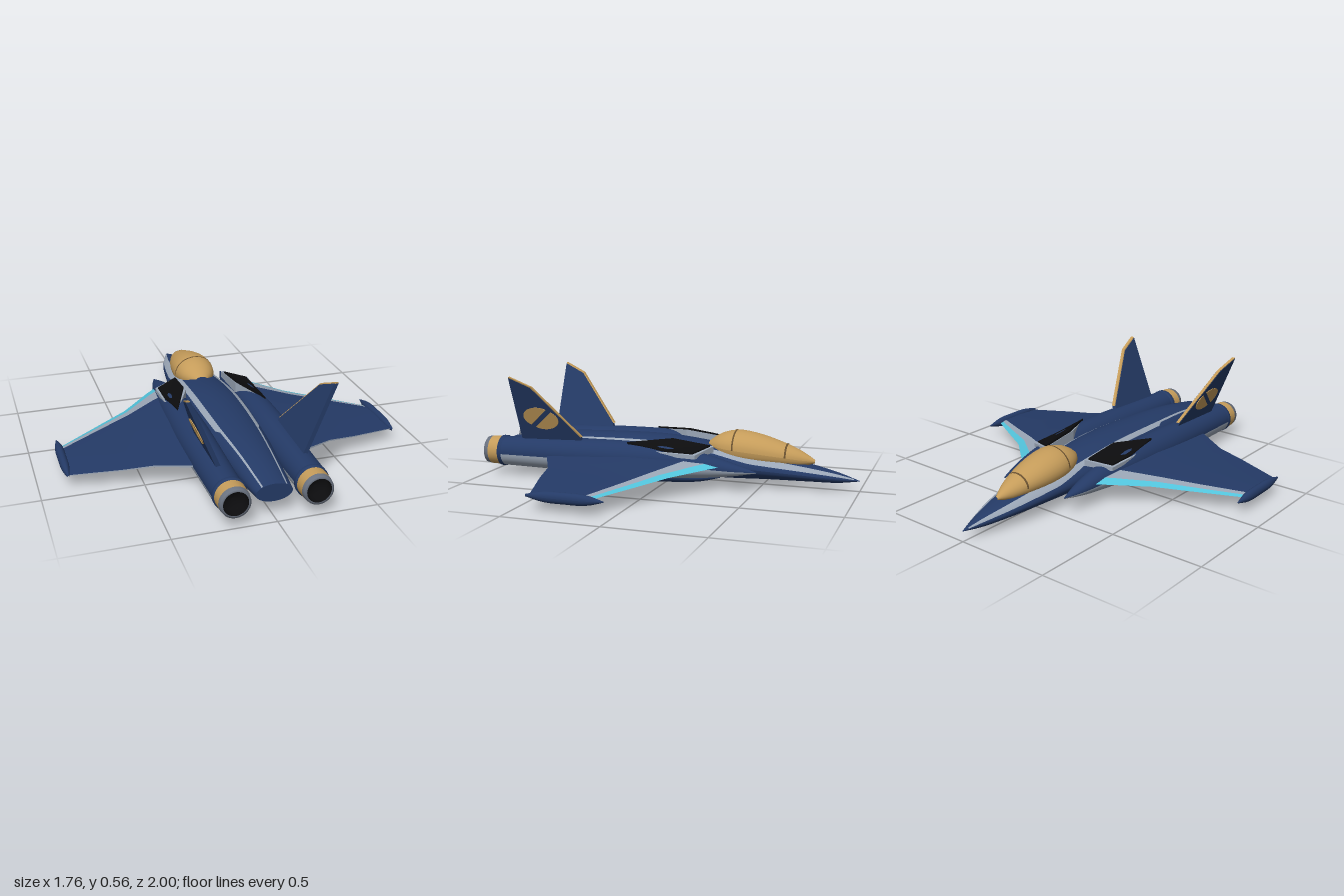
import * as THREE from 'three';

const paint = (name, color, side = THREE.FrontSide) => {
  const m = new THREE.MeshStandardMaterial({ color, side });
  m.name = name;
  return m;
};

// Surface through rows of points
function grid(rows) {
  const n = rows[0].length, index = [];
  for (let i = 0; i < rows.length - 1; i++)
    for (let j = 0; j < n - 1; j++) {
      const a = i * n + j, b = a + n;
      index.push(a, a + 1, b, a + 1, b + 1, b);
    }
  const g = new THREE.BufferGeometry();
  g.setAttribute('position', new THREE.Float32BufferAttribute(rows.flat(2), 3));
  g.setIndex(index);
  g.computeVertexNormals();
  return g;
}

// Elliptical body along z; sections are [z, y, halfWidth, halfHeight], angles in degrees
function loft(x, sections, a0 = 0, a1 = 360, grow = 0, z0 = sections[0][0], z1 = sections.at(-1)[0]) {
  const curve = new THREE.CubicInterpolant(sections.map(s => s[0]), sections.flatMap(s => s.slice(1)), 3, new Float32Array(3));
  const at = (a, z) => (typeof a === 'function' ? a(z) : a);
  const rows = [], steps = Math.max(4, Math.ceil((z1 - z0) * 28)), cols = 32;
  for (let i = 0; i <= steps; i++) {
    const z = z0 + (z1 - z0) * i / steps;
    const [y, w, h] = curve.evaluate(z);
    const row = [];
    for (let j = 0; j <= cols; j++) {
      const a = THREE.MathUtils.degToRad(at(a0, z) + (at(a1, z) - at(a0, z)) * j / cols);
      row.push([x + (Math.max(w, 0.001) + grow) * Math.cos(a), y + (Math.max(h, 0.001) + grow) * Math.sin(a), z]);
    }
    rows.push(row);
  }
  return grid(rows);
}

function mirrored(geo) {
  const g = geo.clone();
  g.scale(-1, 1, 1);
  const idx = g.index ? Array.from(g.index.array) : Array.from({ length: g.attributes.position.count }, (_, i) => i);
  for (let i = 0; i < idx.length; i += 3) [idx[i + 1], idx[i + 2]] = [idx[i + 2], idx[i + 1]];
  g.setIndex(idx);
  return g;
}

export function createModel() {
  const root = new THREE.Group();
  root.name = 'jetAircraft';
  const navy = paint('navy', 0x243a66);
  const gray = paint('lightGray', 0x9aa6b6);
  const gold = paint('gold', 0xc59c5a);
  const cyan = paint('cyan', 0x52c4dc);
  const black = paint('black', 0x0c0c0e, THREE.DoubleSide);
  const steel = paint('steel', 0x6a7280);
  const bronze = paint('bronze', 0x6b5230);

  const add = (name, geo, mat) => {
    const m = new THREE.Mesh(geo, mat);
    m.name = name;
    root.add(m);
  };
  const pair = (name, geo, mat) => {
    add(name + 'Left', geo, mat);
    add(name + 'Right', mirrored(geo), mat);
  };

  // Fuselage with gray stripes
  const body = [
    [-1, 0.055, 0.001, 0.001], [-0.9, 0.064, 0.037, 0.024], [-0.75, 0.08, 0.085, 0.042],
    [-0.55, 0.096, 0.122, 0.06], [-0.3, 0.112, 0.15, 0.084], [0, 0.13, 0.163, 0.101],
    [0.4, 0.13, 0.15, 0.1], [0.7, 0.13, 0.118, 0.08], [0.95, 0.125, 0.09, 0.045]];
  add('fuselage', loft(0, body), navy);
  const tailCap = new THREE.CircleGeometry(1, 32).scale(0.09, 0.045, 1).translate(0, 0.125, 0.95);
  add('tailCap', tailCap, navy);
  const low = z => (z < -0.45 ? 22 : z < -0.25 ? 22 + (z + 0.45) * 90 : z < 0.45 ? 40 : 47);
  pair('fuselageStripe', loft(0, body, low, 53, 0.002, -0.97, 0.95), gray);

  // Canopy and its frames
  const canopy = [
    [-0.77, 0.14, 0.008, 0.008], [-0.7, 0.15, 0.045, 0.04], [-0.6, 0.165, 0.08, 0.065],
    [-0.45, 0.182, 0.108, 0.09], [-0.35, 0.19, 0.108, 0.09], [-0.26, 0.196, 0.08, 0.058],
    [-0.21, 0.198, 0.035, 0.02]];
  add('canopy', loft(0, canopy), gold);
  for (const z of [-0.63, -0.36]) add('canopyFrame', loft(0, canopy, 0, 180, 0.003, z, z + 0.009), bronze);

  // Engine nacelles: navy above, gray below
  const nacelle = [
    [-0.51, 0.105, 0.002, 0.002], [-0.4, 0.112, 0.036, 0.03], [-0.25, 0.122, 0.06, 0.06],
    [0, 0.13, 0.082, 0.088], [0.3, 0.13, 0.09, 0.094], [0.6, 0.13, 0.084, 0.085], [0.91, 0.127, 0.078, 0.078]];
  pair('nacelleTop', loft(0.203, nacelle, -5, 185), navy);
  pair('nacelleBelly', loft(0.203, nacelle, 185, 355), gray);

  // Nozzles, turned around the engine axis
  const turn = pts => new THREE.LatheGeometry(pts.map(p => new THREE.Vector2(...p)), 32).rotateX(Math.PI / 2).translate(0.2, 0.127, 0);
  pair('nozzleCollar', turn([[0.076, 0.89], [0.083, 0.895], [0.083, 0.915], [0.072, 0.918]]), navy);
  pair('nozzle', turn([[0.077, 0.912], [0.076, 0.975]]), gold);
  pair('nozzleRim', turn([[0.076, 0.975], [0.072, 1], [0.061, 1]]), steel);
  pair('nozzleInside', turn([[0.061, 1], [0.055, 0.95], [0.001, 0.94]]), black);

  // Wings: [x, leading z, cyan end, gray end, middle, trailing z, y, half thickness]
  const wing = [
    [0.22, -0.35, -0.285, -0.17, 0.15, 0.63, 0.132, 0.034],
    [0.3, -0.28, -0.22, -0.13, 0.15, 0.605, 0.126, 0.031],
    [0.46, -0.13, -0.085, -0.035, 0.18, 0.52, 0.108, 0.024],
    [0.61, -0.035, 0, 0.04, 0.22, 0.49, 0.094, 0.019],
    [0.85, 0.12, 0.14, 0.165, 0.28, 0.425, 0.072, 0.013]];
  const bulge = [0, 0.5, 0.8, 1, 0.15];
  const wingPoint = (s, k, side) => [s[0], s[6] + side * bulge[k] * s[7], s[1 + k]];
  const wingStrip = list => grid(wing.map(s => list.map(([k, side]) => wingPoint(s, k, side))));
  pair('wingLeadingEdge', wingStrip([[0, 1], [1, 1]]), cyan);
  pair('wingStripe', wingStrip([[1, 1], [2, 1]]), gray);
  pair('wingTop', wingStrip([[2, 1], [3, 1], [4, 1]]), navy);
  pair('wingTrailingEdge', wingStrip([[4, 1], [4, -1]]), gray);
  pair('wingBottom', wingStrip([[4, -1], [3, -1], [2, -1], [1, -1], [0, -1]]), navy);

  // Wingtip pods
  pair('wingtipPod', loft(0.858, [
    [-0.0 + 0.04, 0.073, 0.002, 0.002], [0.13, 0.073, 0.02, 0.025], [0.24, 0.073, 0.022, 0.028],
    [0.35, 0.073, 0.02, 0.025], [0.44, 0.073, 0.004, 0.006]]), navy);

  // Belly pods
  pair('bellyPod', loft(0.128, [
    [-0.3, 0.05, 0.002, 0.002], [-0.2, 0.044, 0.032, 0.022], [0, 0.04, 0.054, 0.034],
    [0.3, 0.04, 0.054, 0.035], [0.42, 0.045, 0.035, 0.022], [0.49, 0.055, 0.002, 0.002]]), navy);

  // Stores in pairs under each wing
  for (const x of [0.37, 0.43])
    pair('wingStore', loft(x, [
      [0.02, 0.055, 0.001, 0.001], [0.08, 0.055, 0.017, 0.017], [0.2, 0.055, 0.02, 0.02],
      [0.34, 0.055, 0.02, 0.02], [0.44, 0.055, 0.005, 0.005]]), steel);
  pair('storePylon', new THREE.BoxGeometry(0.018, 0.045, 0.2).translate(0.4, 0.08, 0.23), steel);
  pair('storeRack', new THREE.BoxGeometry(0.06, 0.012, 0.18).translate(0.4, 0.06, 0.23), steel);

  // Leaning slabs for the tail fins, drawn in [z, y]
  const slab = (points, offset, depth) => {
    const shape = new THREE.Shape(points.map(([z, y]) => new THREE.Vector2(-z, y)));
    const g = new THREE.ExtrudeGeometry(shape, { depth, bevelEnabled: false }).rotateY(Math.PI / 2);
    const p = g.attributes.position;
    for (let i = 0; i < p.count; i++) p.setX(i, p.getX(i) + offset + 0.213 + (p.getY(i) - 0.2) * 0.405);
    g.computeVertexNormals();
    return g;
  };
  pair('tailFin', slab([[0.43, 0.2], [0.44, 0.235], [0.67, 0.5], [0.785, 0.55], [0.785, 0.17]], -0.012, 0.024), navy);
  pair('finEdge', slab([[0.432, 0.235], [0.667, 0.505], [0.785, 0.556], [0.785, 0.548], [0.672, 0.497], [0.442, 0.232]], -0.009, 0.018), gold);

  // Fin emblem: two halves of an oval with a slanted gap
  for (const half of [0, 1]) {
    const pts = [];
    for (let i = 0; i <= 20; i++) {
      const a = Math.PI * (0.3 + half + i / 20);
      const push = half ? -0.012 : 0.012;
      pts.push([0.645 + 0.088 * Math.cos(a + Math.PI * 0.4) * 1 + (half ? 0.012 : -0.012) * -1 * -1, 0.33 + 0.055 * Math.sin(a + Math.PI * 0.4) + push * -0.5]);
    }
    pair('finEmblem', slab(pts, 0.011, 0.005), gold);
  }

  // Raised intake vents with gray borders
  const wedge = (points, lift) => {
    const top = points.map(([x, y, z]) => [x, y + lift, z]);
    const base = points.map(([x, y, z]) => [x, Math.min(y, 0.2) - 0.02, z]);
    const tris = [], n = top.length;
    for (let i = 1; i < n - 1; i++) tris.push(top[0], top[i], top[i + 1]);
    for (let i = 0; i < n; i++) {
      const j = (i + 1) % n;
      tris.push(top[i], base[i], base[j], top[i], base[j], top[j]);
    }
    const g = new THREE.BufferGeometry();
    g.setAttribute('position', new THREE.Float32BufferAttribute(tris.flat(), 3));
    g.computeVertexNormals();
    return g;
  };
  pair('intakeBorder', wedge([[0.132, 0.212, -0.265], [0.14, 0.238, -0.03], [0.232, 0.218, 0.15], [0.265, 0.19, -0.02], [0.268, 0.186, -0.205]], 0), gray);
  pair('intakeVent', wedge([[0.143, 0.214, -0.248], [0.15, 0.24, -0.05], [0.24, 0.222, 0.17], [0.256, 0.196, -0.02], [0.256, 0.191, -0.19]], 0.005), black);
  return root;
}
